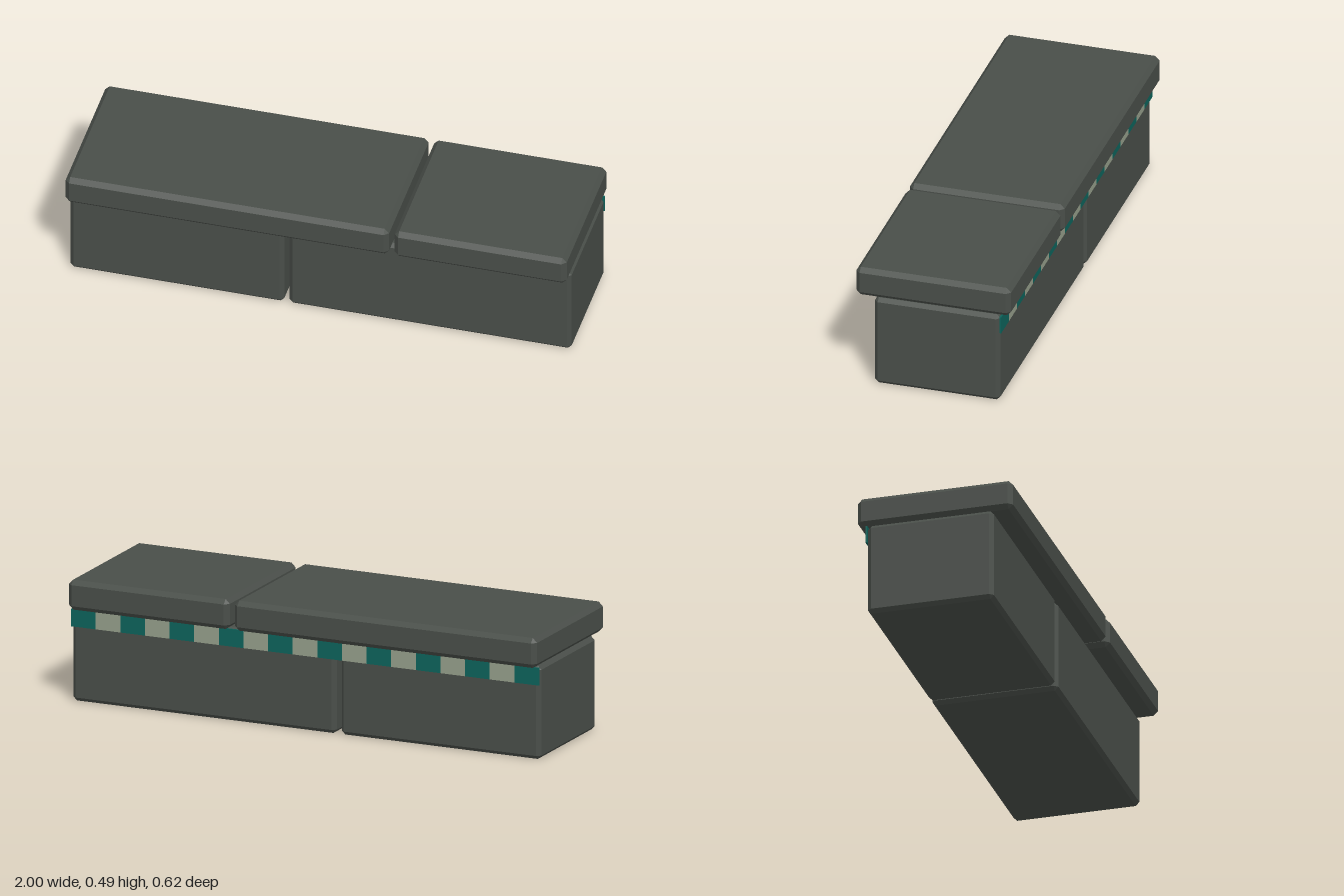
import * as THREE from 'three';
import { ConvexGeometry } from 'three/addons/geometries/ConvexGeometry.js';

// Box between two corners with every edge cut by a flat chamfer c
function chamferBox([x0, y0, z0], [x1, y1, z1], c) {
  const half = [(x1 - x0) / 2, (y1 - y0) / 2, (z1 - z0) / 2];
  const points = [];
  for (const sx of [-1, 1]) for (const sy of [-1, 1]) for (const sz of [-1, 1]) {
    for (let axis = 0; axis < 3; axis++) {
      const p = half.map((h, i) => (i === axis ? h : h - c));
      points.push(new THREE.Vector3(p[0] * sx, p[1] * sy, p[2] * sz));
    }
  }
  const geometry = new ConvexGeometry(points);
  geometry.translate((x0 + x1) / 2, (y0 + y1) / 2, (z0 + z1) / 2);
  return geometry;
}

export function createModel() {
  const stone = new THREE.MeshStandardMaterial({ name: 'dark stone', color: 0x494e49 });
  const teal = new THREE.MeshStandardMaterial({ name: 'teal tile', color: 0x0d635b });
  const pale = new THREE.MeshStandardMaterial({ name: 'pale tile', color: 0x949e8a });

  const model = new THREE.Group();
  model.name = 'stoneBench';
  const add = (name, geometry, material, parent = model) => {
    const mesh = new THREE.Mesh(geometry, material);
    mesh.name = name;
    parent.add(mesh);
    return mesh;
  };

  // Two base blocks with a narrow joint
  add('rightBaseBlock', chamferBox([-1, 0, -0.27], [-0.147, 0.373, 0.236], 0.015), stone);
  add('leftBaseBlock', chamferBox([-0.126, 0, -0.27], [1, 0.373, 0.236], 0.015), stone);

  // Two overhanging cap slabs, their joint offset from the one below
  add('rightCapSlab', chamferBox([-1, 0.373, -0.312], [0.291, 0.493, 0.312], 0.018), stone);
  add('leftCapSlab', chamferBox([0.313, 0.373, -0.312], [1, 0.493, 0.312], 0.018), stone);

  // Row of alternating tiles along the back, under the cap
  const tiles = new THREE.Group();
  tiles.name = 'tileBand';
  model.add(tiles);
  const count = 19, width = 2 / count;
  const tileGeometry = new THREE.BoxGeometry(width, 0.07, 0.007);
  for (let i = 0; i < count; i++) {
    const tile = add('tile', tileGeometry, i % 2 ? pale : teal, tiles);
    tile.position.set(-1 + (i + 0.5) * width, 0.335, -0.2735);
  }
  return model;
}
